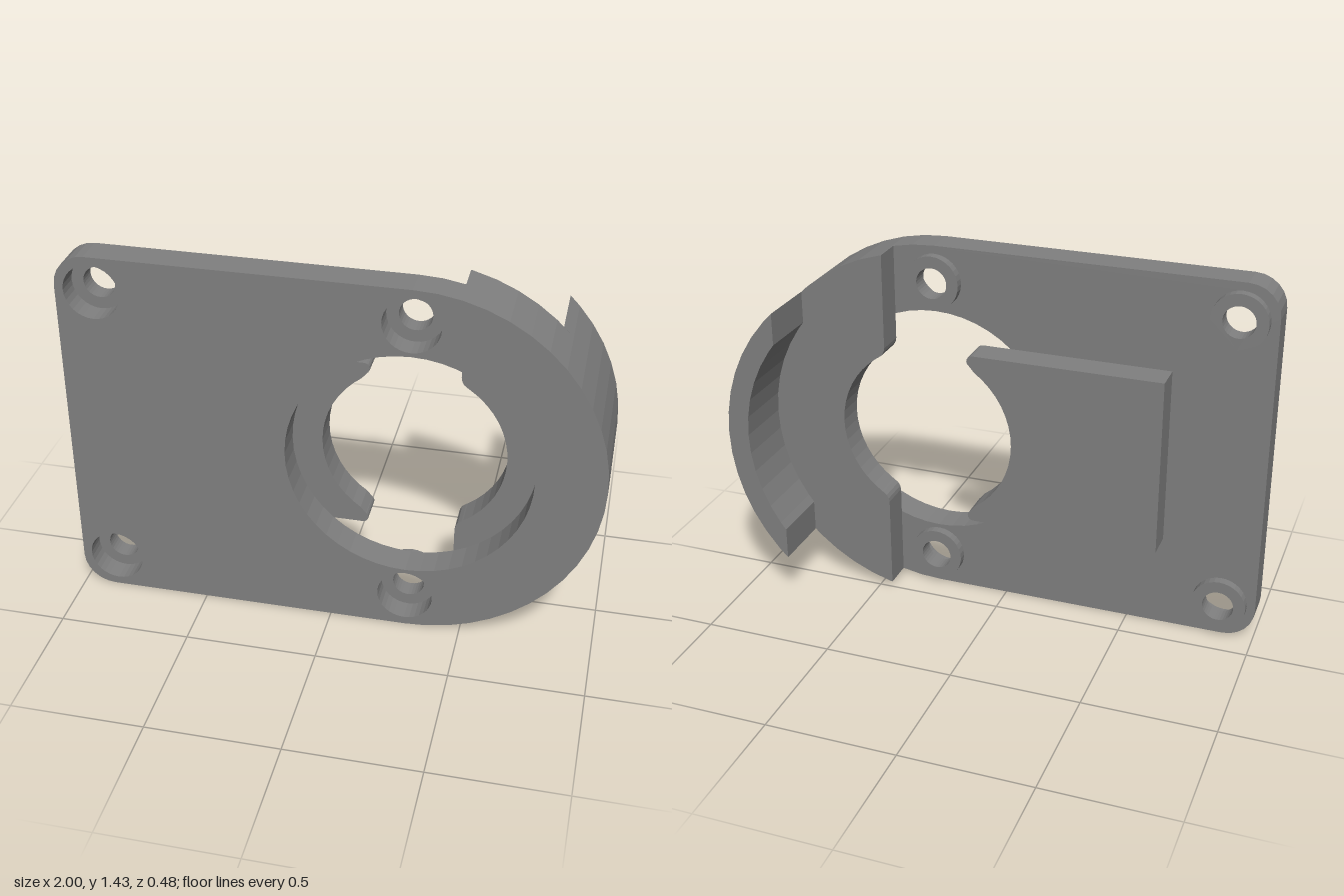
import * as THREE from 'three';

const CX = 0.287, CY = 0.715;            // centre of the round end
const R_OUT = 0.713, R_BORE = 0.457, R_SEAT = 0.343, R_WALL = 0.63;
const STEP = Math.PI / 26;               // facet angle shared by all large arcs

// Arc points, with inner points snapped to a common angular grid
function arc(cx, cy, r, a0, a1, step = STEP) {
  const angles = [a0], dir = Math.sign(a1 - a0);
  let k = dir > 0 ? Math.floor(a0 / step + 1e-6) + 1 : Math.ceil(a0 / step - 1e-6) - 1;
  for (; dir * (a1 - k * step) > 1e-6; k += dir) angles.push(k * step);
  angles.push(a1);
  return angles.map(a => new THREE.Vector2(cx + r * Math.cos(a), cy + r * Math.sin(a)));
}

const circle = (cx, cy, r, step) => arc(cx, cy, r, 0, Math.PI * 2, step).slice(0, -1);
const pt = (x, y) => new THREE.Vector2(x, y);

export function createModel() {
  const group = new THREE.Group();
  const grey = new THREE.MeshStandardMaterial({ color: 0x808080 });
  grey.name = 'grey';

  // Extrudes an outline with holes between two depths
  function slab(name, points, z0, z1, holes = []) {
    const shape = new THREE.Shape(points);
    holes.forEach(h => shape.holes.push(new THREE.Path(h)));
    const geo = new THREE.ExtrudeGeometry(shape, { depth: z1 - z0, bevelEnabled: false });
    geo.translate(0, 0, z0);
    const mesh = new THREE.Mesh(geo, grey);
    mesh.name = name;
    group.add(mesh);
  }

  const H = Math.PI / 2;
  const screws = [];
  for (const x of [-0.863, CX]) for (const y of [0.138, 1.292]) screws.push([x, y]);
  const fine = Math.PI / 16;

  // Base plate with rounded left corners and a semicircular end
  const rc = 0.12;
  slab('basePlate', [
    ...arc(CX, CY, R_OUT, -H, H),
    ...arc(-1 + rc, CY + R_OUT - rc, rc, H, 2 * H, H / 6),
    ...arc(-1 + rc, CY - R_OUT + rc, rc, 2 * H, 3 * H, H / 6),
  ], 0.12, 0.24, [
    circle(CX, CY, R_BORE),
    ...screws.map(([x, y]) => circle(x, y, 0.105, fine)),
  ]);

  // Screw bosses: floors of the counterbores, standing proud of the back
  for (const [x, y] of screws) {
    slab('screwBoss', circle(x, y, 0.105, fine), 0.085, 0.155, [circle(x, y, 0.06, fine)]);
  }

  // Left rear block, cut by the seat circle, with rounded prong tips
  const yTop = 1.06 - CY, tip = 0.022, xTip = 0.12;
  const aL = Math.PI - Math.acos((CX - 0.09) / R_SEAT);
  const prong = [
    pt(-0.63, CY + yTop),
    ...arc(xTip - tip, CY + yTop - tip, tip, H, -H * 0.6, H / 4),
  ];
  const mirrored = prong.map(p => pt(p.x, 2 * CY - p.y)).reverse();
  slab('rearBlock', [...prong, ...arc(CX, CY, R_SEAT, aL, 2 * Math.PI - aL), ...mirrored], 0.005, 0.12);

  // Right rear crescent, flat on its inner side with softened corners
  const dx = 0.45 - CX;
  const aO = Math.acos(dx / R_OUT), aI = Math.acos((dx + 0.025) / R_SEAT);
  const yI = R_SEAT * Math.sin(Math.acos(dx / R_SEAT));
  slab('rearCrescent', [
    ...arc(CX, CY, R_OUT, -aO, aO),
    pt(0.45, CY + yI + 0.025), pt(0.453, CY + yI + 0.01), pt(0.461, CY + yI - 0.004),
    ...arc(CX, CY, R_SEAT, aI, -aI),
    pt(0.461, CY - yI + 0.004), pt(0.453, CY - yI - 0.01), pt(0.45, CY - yI - 0.025),
  ], 0.005, 0.12);

  // Curved wall reaching backwards, ends cut on one vertical plane
  const wx = 0.784 - CX;
  const wO = Math.acos(wx / R_OUT), wI = Math.acos(wx / R_WALL);
  slab('curvedWall', [
    ...arc(CX, CY, R_OUT, -wO, wO),
    ...arc(CX, CY, R_WALL, wI, -wI),
  ], -0.24, 0.005);

  return group;
}
